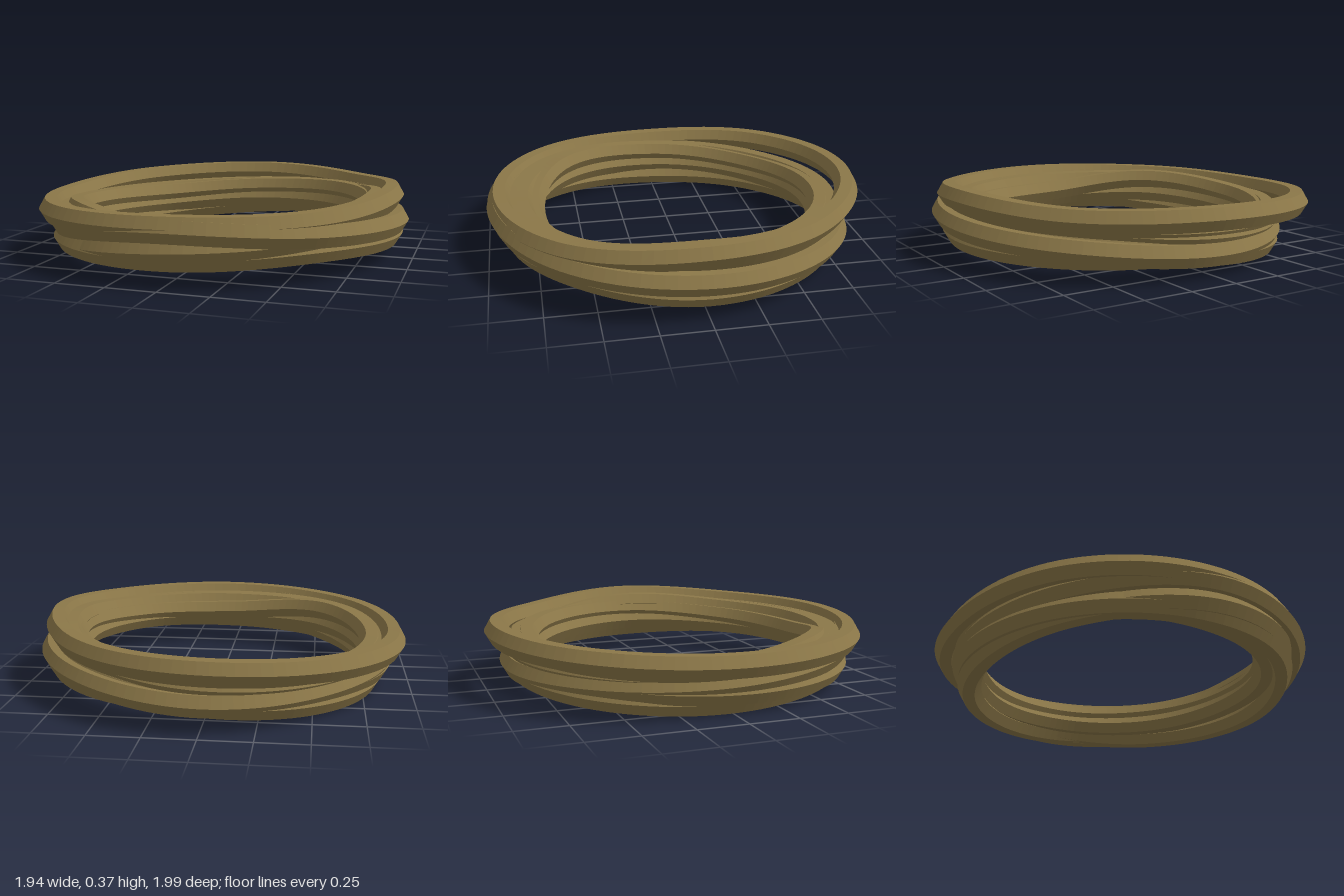
import * as THREE from 'three';

const TUBE = 0.062;   // strand radius
const SIDES = 6;      // hexagonal strand section
const STEPS = 112;

// Each turn: centreline radius and height at eighths of a circle, from +x by way of +z
const TURNS = [
  // loose top turn
  { r: [0.88, 0.91, 0.925, 0.94, 0.91, 0.95, 0.938, 0.865], y: [0.325, 0.29, 0.28, 0.26, 0.25, 0.275, 0.30, 0.295] },
  { r: [0.85, 0.86, 0.87, 0.86, 0.84, 0.80, 0.82, 0.83], y: [0.28, 0.25, 0.24, 0.23, 0.20, 0.20, 0.22, 0.25] },
  { r: [0.91, 0.935, 0.93, 0.89, 0.85, 0.81, 0.85, 0.88], y: [0.20, 0.235, 0.265, 0.20, 0.15, 0.12, 0.115, 0.16] },
  // lowest turn
  { r: [0.84, 0.87, 0.90, 0.85, 0.80, 0.80, 0.83, 0.84], y: [0.22, 0.20, 0.165, 0.10, 0.06, 0.068, 0.11, 0.17] },
  { r: [0.88, 0.86, 0.87, 0.87, 0.84, 0.805, 0.82, 0.85], y: [0.13, 0.15, 0.125, 0.11, 0.11, 0.125, 0.13, 0.125] },
  { r: [0.78, 0.78, 0.755, 0.79, 0.80, 0.775, 0.775, 0.78], y: [0.25, 0.21, 0.20, 0.25, 0.21, 0.19, 0.22, 0.25] },
  { r: [0.77, 0.79, 0.79, 0.80, 0.80, 0.78, 0.77, 0.77], y: [0.19, 0.17, 0.16, 0.17, 0.14, 0.13, 0.16, 0.18] },
  { r: [0.80, 0.82, 0.81, 0.82, 0.82, 0.79, 0.82, 0.81], y: [0.29, 0.25, 0.24, 0.23, 0.18, 0.17, 0.19, 0.24] },
];

// Smooth periodic cubic through evenly spaced values
function around(values, a) {
  const n = values.length;
  const t = (a / (2 * Math.PI) + 1) * n;
  const i = Math.floor(t), f = t - i;
  const [p, q, r, s] = [-1, 0, 1, 2].map((k) => values[(i + k + n) % n]);
  return q + f / 2 * (r - p + f * (2 * p - 5 * q + 4 * r - s + f * (3 * (q - r) + s - p)));
}

// A hexagonal ring bent to its own wandering radius and height
function turnGeometry(turn) {
  const geo = new THREE.TorusGeometry(1, TUBE, SIDES, STEPS);
  geo.rotateX(-Math.PI / 2);
  const p = geo.attributes.position;
  for (let i = 0; i < p.count; i++) {
    const x = p.getX(i), z = p.getZ(i);
    const a = Math.atan2(z, x);
    const radius = Math.hypot(x, z) - 1 + around(turn.r, a);
    p.setXYZ(i, radius * Math.cos(a), p.getY(i) + around(turn.y, a), radius * Math.sin(a));
  }
  geo.computeVertexNormals();
  return geo;
}

export function createModel() {
  const group = new THREE.Group();
  group.name = 'ropeCoil';
  const rope = new THREE.MeshStandardMaterial({ color: 0x8b7748, flatShading: true });
  TURNS.forEach((turn, i) => {
    const mesh = new THREE.Mesh(turnGeometry(turn), rope);
    mesh.name = `ropeTurn${i + 1}`;
    group.add(mesh);
  });
  return group;
}
